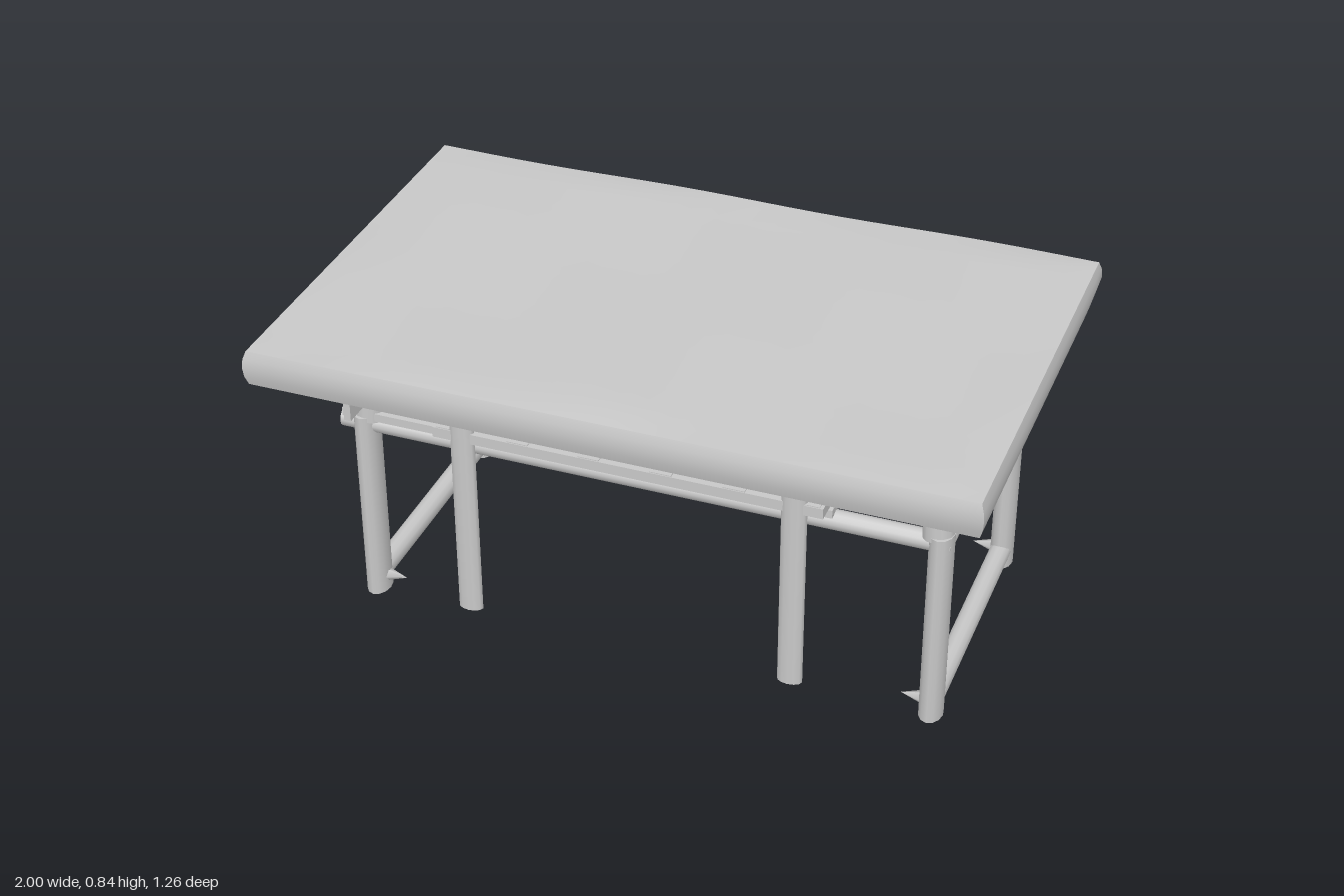
import * as THREE from 'three';
import { toCreasedNormals } from 'three/addons/utils/BufferGeometryUtils.js';

const grey = new THREE.MeshStandardMaterial({ color: 0xc8c8c8 });
grey.name = 'plainGrey';
const greyCloth = grey.clone();
greyCloth.name = 'plainGreyCloth';
greyCloth.side = THREE.DoubleSide;

function add(parent, name, geometry, material = grey) {
  const mesh = new THREE.Mesh(geometry, material);
  mesh.name = name;
  parent.add(mesh);
  return mesh;
}

// Round bar between two points; w is its width sideways, d its depth
function bar(parent, name, a, b, w, d = w, sides = 12) {
  const from = new THREE.Vector3(...a), to = new THREE.Vector3(...b);
  const dir = to.clone().sub(from);
  const mesh = add(parent, name, new THREE.CylinderGeometry(0.5, 0.5, dir.length(), sides));
  mesh.scale.set(w, 1, d);
  mesh.position.copy(from).add(to).multiplyScalar(0.5);
  mesh.quaternion.setFromUnitVectors(new THREE.Vector3(0, 1, 0), dir.normalize());
  return mesh;
}

function box(parent, name, x, y, z, w, h, d) {
  const mesh = add(parent, name, new THREE.BoxGeometry(w, h, d));
  mesh.position.set(x, y, z);
  return mesh;
}

// Slightly uneven slab with soft sides and a chamfered underside at the back
function tabletopGeometry() {
  const g = new THREE.BoxGeometry(2, 0.105, 1.255, 24, 4, 18);
  const p = g.attributes.position;
  for (let i = 0; i < p.count; i++) {
    let x = p.getX(i), y = p.getY(i), z = p.getZ(i);
    const v = y / 0.0525;
    const soft = 0.01 * v * v;
    const dent = 0.003 * Math.sin(x * 5 + z * 4) + 0.002 * Math.sin(x * 11 - z * 9);
    const edge = Math.abs(x) > 0.99 || Math.abs(z) > 0.62;
    if (Math.abs(x) > 0.99) x -= Math.sign(x) * soft;
    if (z > 0.62) z -= soft;
    if (z < -0.62) z += soft + 0.005 * Math.sin(x * 7);
    if (v > 0.9) y += edge ? -0.004 : dent;
    if (z < -0.53 && v < 0) y -= v * 0.04 * Math.min(1, (-z - 0.53) / 0.08);
    p.setXYZ(i, x, y, z);
  }
  return toCreasedNormals(g, 0.9);
}

// Crumpled hanging sheet, bulging backwards halfway down
function clothGeometry() {
  const path = new THREE.CatmullRomCurve3([
    [0, 0.67, -0.385], [0, 0.63, -0.42], [0, 0.55, -0.465],
    [0, 0.43, -0.49], [0, 0.24, -0.47], [0, 0.08, -0.44],
  ].map((c) => new THREE.Vector3(...c)));
  const g = new THREE.PlaneGeometry(1, 1, 20, 14);
  const p = g.attributes.position;
  for (let i = 0; i < p.count; i++) {
    const u = p.getX(i) * 2, t = 0.5 - p.getY(i);
    const c = path.getPoint(t);
    const bulge = Math.sin(t * Math.PI);
    const crease = 0.014 * Math.sin(u * 4 + t * 5) * bulge + 0.006 * Math.sin(u * 9 - t * 6) * t;
    const x = 0.01 + u * (0.53 + 0.02 * bulge);
    p.setXYZ(i, x, c.y, c.z - 0.04 * u * u * bulge + crease);
  }
  g.computeVertexNormals();
  return g;
}

// Zigzag strip along the edge of the shelf
function frillGeometry(width, teeth) {
  const s = new THREE.Shape();
  s.moveTo(-width / 2, 0);
  s.lineTo(width / 2, 0);
  for (let i = teeth * 2; i >= 0; i--) {
    s.lineTo(-width / 2 + (width * i) / (teeth * 2), i % 2 ? 0.068 + 0.01 * Math.sin(i * 2) : 0.038);
  }
  return new THREE.ExtrudeGeometry(s, { depth: 0.012, bevelEnabled: false });
}

export function createModel() {
  const table = new THREE.Group();
  table.name = 'table';

  add(table, 'tabletop', tabletopGeometry()).position.set(0, 0.783, 0);

  // End frames: two legs joined by an upper and a lower rail
  for (const [side, x] of [[-1, -0.752], [1, 0.852]]) {
    const frame = new THREE.Group();
    frame.name = side < 0 ? 'rightEndFrame' : 'leftEndFrame';
    table.add(frame);
    for (const [name, z] of [['frontLeg', 0.425], ['backLeg', -0.298]]) {
      bar(frame, name, [x, 0, z], [x, 0.585, z], 0.066, 0.094);
      bar(frame, name + 'Top', [x - side * 0.01, 0.57, z], [x - side * 0.02, 0.74, z - 0.005], 0.085, 0.08);
      const spur = add(frame, name + 'Spur', new THREE.ConeGeometry(0.02, 0.06, 5));
      spur.position.set(x - side * 0.055, 0.045, z);
      spur.rotation.z = side * Math.PI / 2;
    }
    bar(frame, 'upperRail', [x, 0.55, -0.3], [x, 0.55, 0.42], 0.06);
    bar(frame, 'lowerRail', [x, 0.048, -0.3], [x, 0.048, 0.42], 0.06);
  }

  // Extra pair of front legs
  for (const x of [-0.44, 0.48]) {
    bar(table, 'middleLeg', [x, 0.055, 0.49], [x, 0.74, 0.49], 0.07, 0.042);
  }

  // Long rails between the end frames, each with a flat strip on top
  for (const z of [0.425, -0.298]) {
    bar(table, 'longRail', [-0.82, 0.553, z], [0.88, 0.553, z], 0.055);
    box(table, 'railStrip', -0.12, 0.587, z, 1.38, 0.024, 0.06);
  }

  // Lattice shelf below the top
  const shelf = new THREE.Group();
  shelf.name = 'latticeShelf';
  table.add(shelf);
  for (const z of [0.47, 0.17, -0.08, -0.36]) box(shelf, 'longSlat', 0.02, 0.617, z, 1.08, 0.03, 0.065);
  for (let i = 0; i < 6; i++) box(shelf, 'crossSlat', -0.48 + i * 0.2, 0.622, 0.055, 0.06, 0.025, 0.89);
  add(shelf, 'shelfFrill', frillGeometry(1.04, 15)).position.set(0.01, 0.612, -0.385);

  // Side apron under one end, and a gusset beside the back leg of the other
  box(table, 'sideApron', -0.755, 0.675, 0.055, 0.02, 0.12, 0.95);
  bar(table, 'cornerGusset', [0.69, 0.605, -0.37], [0.68, 0.74, -0.36], 0.11, 0.08, 8);

  add(table, 'hangingCloth', clothGeometry(), greyCloth);

  return table;
}
